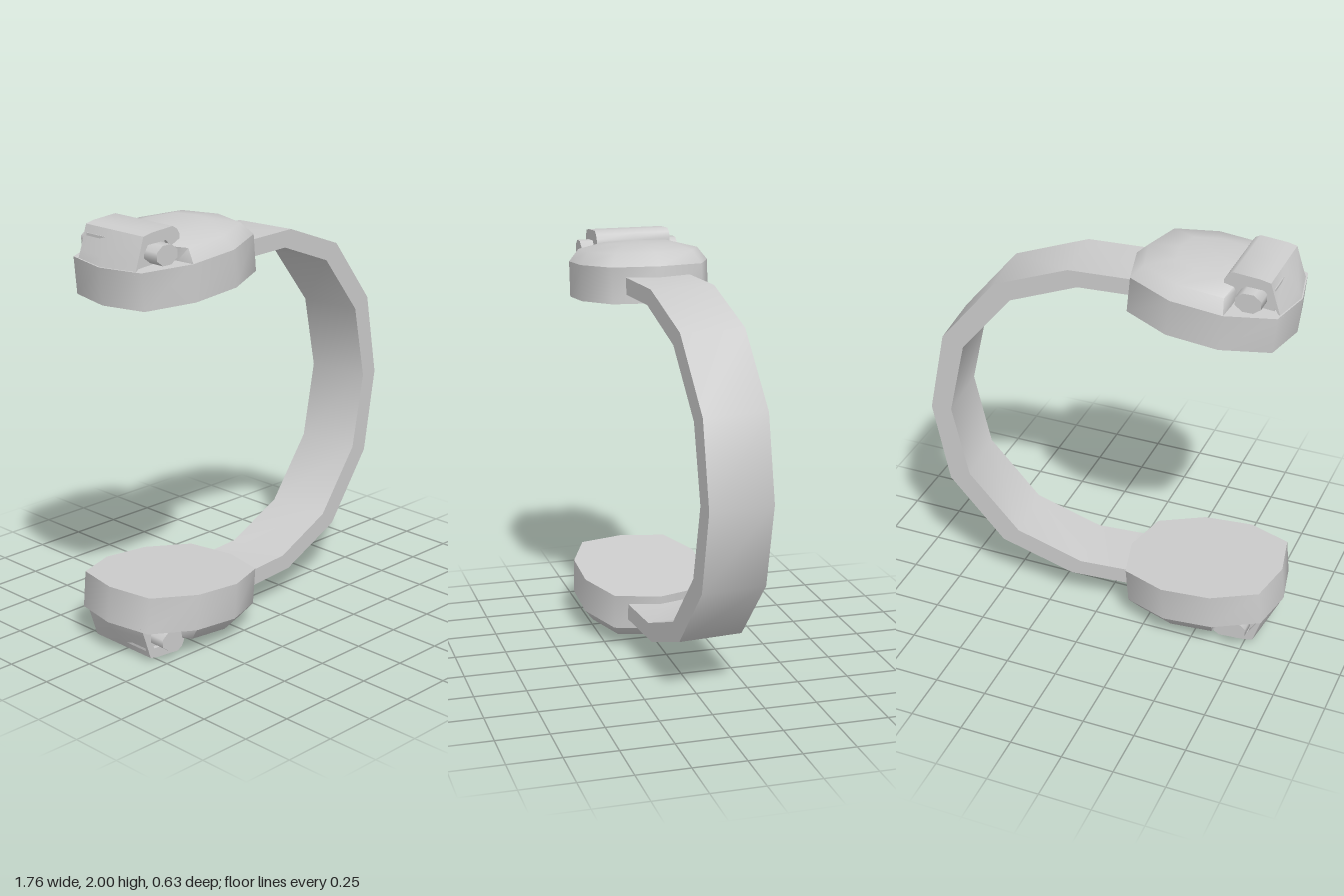
import * as THREE from 'three';
import { toCreasedNormals } from 'three/addons/utils/BufferGeometryUtils.js';

const material = new THREE.MeshStandardMaterial({ color: 0xcccccc, side: THREE.DoubleSide });

function part(name, geometry, crease) {
  const mesh = new THREE.Mesh(crease ? toCreasedNormals(geometry, crease) : geometry, material);
  mesh.name = name;
  return mesh;
}

// Extrude an x/y profile along z, centred on z = 0
function extrude(points, depth, steps = 1) {
  const shape = new THREE.Shape(points.map(([x, y]) => new THREE.Vector2(x, y)));
  const g = new THREE.ExtrudeGeometry(shape, { depth, steps, bevelEnabled: false });
  return g.translate(0, 0, -depth / 2);
}

// Ten-sided ear cup outline, counter-clockwise seen from above
const half = [[0.39, 0], [0.335, 0.22], [0.115, 0.315], [-0.13, 0.315], [-0.345, 0.22], [-0.39, 0]];
const outline = [...half.map(([x, z]) => [x, -z]), ...half.slice(1, 5).reverse()];

// Skin rings given as [scale, height, smallest x]
function loft(rings) {
  const pos = [];
  const at = ([s, h, minX = -1], i) => {
    const [x, z] = outline[i % outline.length];
    return [Math.max(x * s, minX), h, z * s];
  };
  for (let r = 0; r < rings.length - 1; r++) {
    for (let i = 0; i < outline.length; i++) {
      const a = at(rings[r], i), b = at(rings[r], i + 1);
      const c = at(rings[r + 1], i + 1), d = at(rings[r + 1], i);
      if (rings[r][0] > 0) pos.push(...a, ...b, ...c);
      if (rings[r + 1][0] > 0) pos.push(...a, ...c, ...d);
    }
  }
  const g = new THREE.BufferGeometry();
  g.setAttribute('position', new THREE.Float32BufferAttribute(pos, 3));
  g.computeVertexNormals();
  return g;
}

function earpiece() {
  const group = new THREE.Group();

  // Tilted cup: flat pad face, straight wall, domed back cut short at the hinge
  const cup = new THREE.Group();
  cup.name = 'earCup';
  const cut = -0.135;
  cup.add(part('cupWall', loft([[0, 0], [1, 0], [1, 0.172]]), 1));
  cup.add(part('cupLedge', loft([[1, 0.172], [0, 0.172]]), 1));
  cup.add(part('cupDome', loft([[1, 0.172, cut], [0.86, 0.232, cut], [0.5, 0.262, cut], [0, 0.268, cut]]), 1));
  cup.position.set(-0.478, 1.695, 0);
  cup.rotation.z = 0.09;
  group.add(cup);

  // Hooked bracket over the hinge, its outer side following the cup outline
  const hook = extrude([[-0.88, 1.82], [-0.862, 1.87], [-0.79, 1.98], [-0.745, 1.99], [-0.62, 2],
    [-0.595, 1.985], [-0.58, 1.96], [-0.58, 1.93], [-0.635, 1.915], [-0.66, 1.945],
    [-0.765, 1.94], [-0.83, 1.835]], 0.37, 2);
  const p = hook.attributes.position;
  for (let i = 0; i < p.count; i++) {
    if (p.getX(i) < -0.84) p.setX(i, p.getX(i) + Math.abs(p.getZ(i)) * 0.2);
  }
  hook.computeVertexNormals();
  group.add(part('hingeBracket', hook, 0.7));

  // Block that carries the hinge, and the pin ends sticking out of it
  const block = part('hingeBlock', new THREE.BoxGeometry(0.18, 0.12, 0.33));
  block.position.set(-0.715, 1.885, 0);
  group.add(block);
  const pin = part('hingePin', new THREE.CylinderGeometry(0.064, 0.064, 0.49, 8)
    .rotateY(Math.PI / 8).rotateX(Math.PI / 2), 0.9);
  pin.position.set(-0.71, 1.897, 0);
  pin.scale.y = 0.75;
  group.add(pin);
  return group;
}

export function createModel() {
  const model = new THREE.Group();
  model.name = 'headphones';

  // Headband: faceted arc, mirrored about its middle, swung slightly backwards
  const outer = [[-0.08, 0.85], [0.3, 0.85], [0.656, 0.72], [0.92, 0.4], [0.997, 0]];
  const inner = [[-0.08, 0.77], [0.256, 0.77], [0.577, 0.65], [0.82, 0.36], [0.898, 0]];
  const mirrored = (pts) => [...pts, ...pts.slice(0, -1).reverse().map(([x, y]) => [x, -y])];
  const band = part('headband', extrude([...mirrored(outer), ...mirrored(inner).reverse()], 0.31), 0.7);
  band.position.set(-0.13, 1, 0);
  band.rotation.y = 0.092;
  model.add(band);

  // The two earpieces, the lower one turned over
  const upper = earpiece();
  upper.name = 'upperEarpiece';
  const lower = earpiece();
  lower.name = 'lowerEarpiece';
  lower.rotation.x = Math.PI;
  lower.position.y = 2;
  model.add(upper, lower);
  return model;
}
